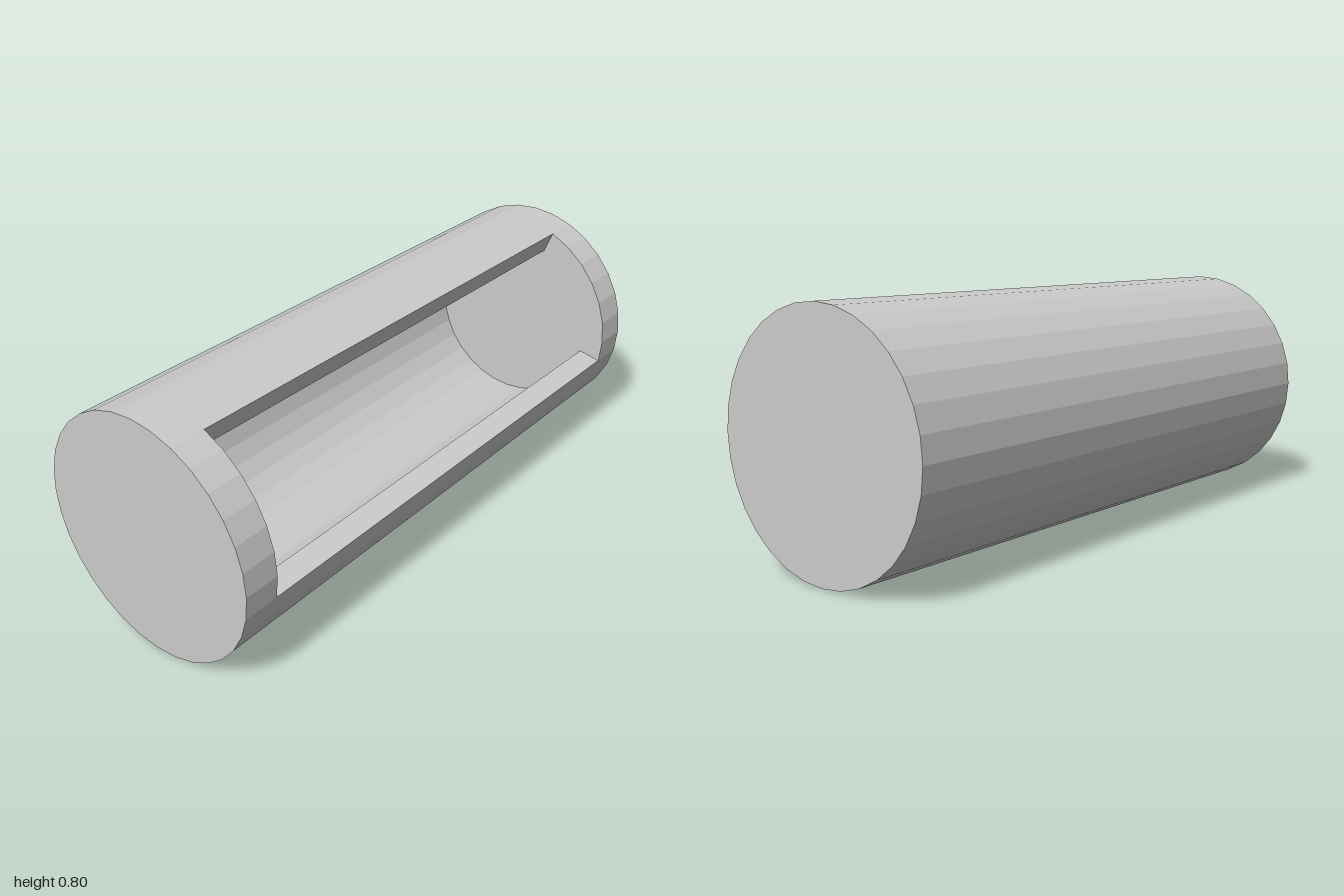
import * as THREE from 'three';

const SIDES = 32, STEP = (2 * Math.PI) / SIDES;
const OUTER = 0.399, INNER = 0.319;
const HALF_LENGTH = 1, CAP = 0.12;
// Window in the wall, counted in facets from the +x axis
const WINDOW_START = -1, WINDOW_END = 6;

export function createModel() {
  const group = new THREE.Group();
  group.name = 'slottedDrum';
  const material = new THREE.MeshStandardMaterial({ color: 0xcccccc, flatShading: true });

  const add = (name, geometry, z) => {
    const mesh = new THREE.Mesh(geometry, material);
    mesh.name = name;
    mesh.position.set(0, OUTER, z);
    group.add(mesh);
  };

  // Wall: C-shaped section with radial edges, extruded between the caps
  const outer = [], inner = [];
  for (let i = WINDOW_END; i <= SIDES + WINDOW_START; i++) {
    const c = Math.cos(i * STEP), s = Math.sin(i * STEP);
    outer.push(new THREE.Vector2(OUTER * c, OUTER * s));
    inner.unshift(new THREE.Vector2(INNER * c, INNER * s));
  }
  const section = new THREE.Shape([...outer, ...inner]);
  const depth = 2 * (HALF_LENGTH - CAP);
  add('wall', new THREE.ExtrudeGeometry(section, { depth, bevelEnabled: false }), -depth / 2);

  // Solid discs closing both ends
  for (const [name, side] of [['frontCap', 1], ['backCap', -1]]) {
    const disc = new THREE.CylinderGeometry(OUTER, OUTER, CAP, SIDES).rotateX(Math.PI / 2);
    add(name, disc, side * (HALF_LENGTH - CAP / 2));
  }
  return group;
}
